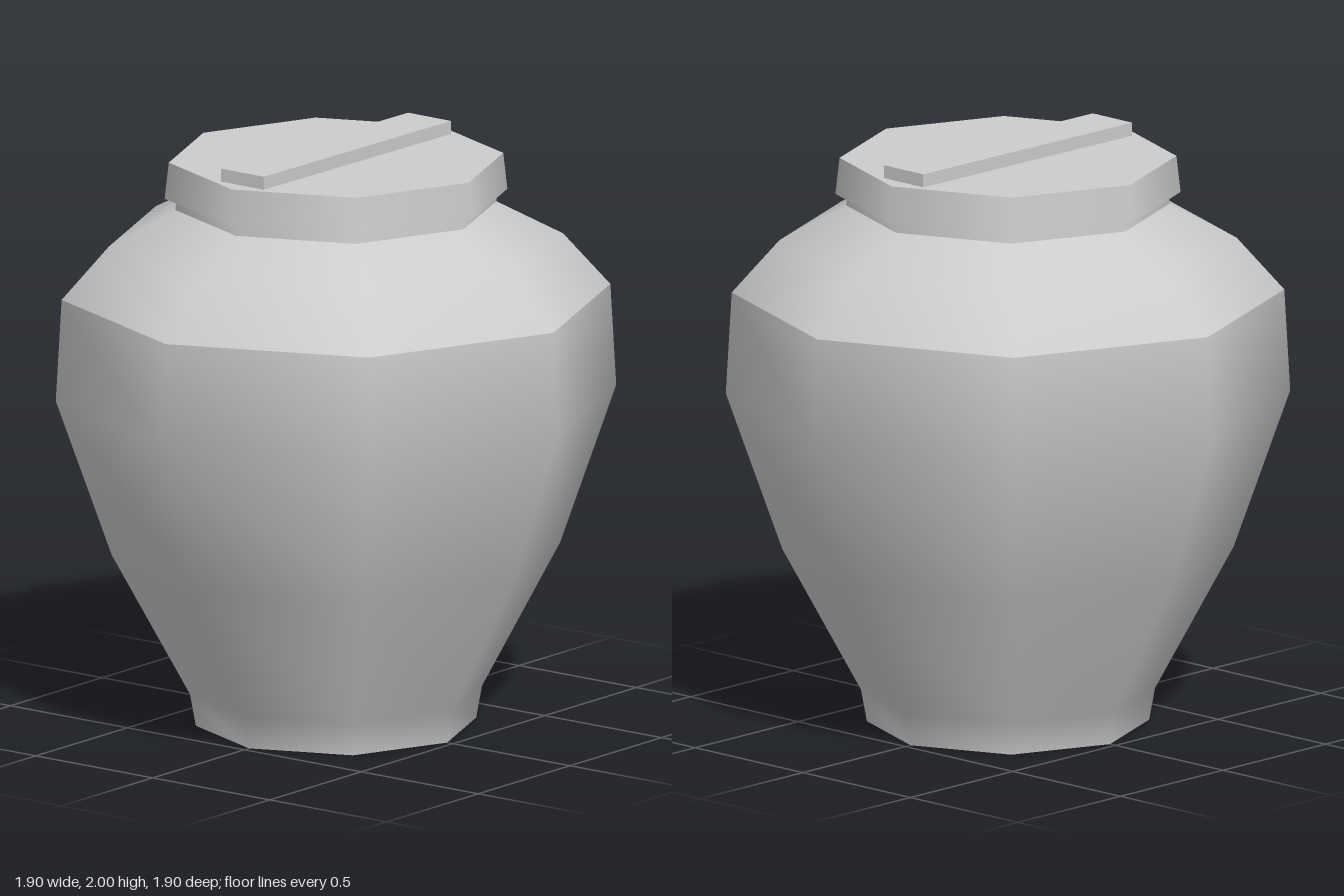
import * as THREE from 'three';

const SIDES = 8;

export function createModel() {
  const model = new THREE.Group();
  const clay = new THREE.MeshStandardMaterial({ color: 0xcccccc });
  clay.name = 'plain grey clay';

  const add = (name, geometry, y = 0) => {
    const mesh = new THREE.Mesh(geometry, clay);
    mesh.name = name;
    mesh.position.y = y;
    model.add(mesh);
    return mesh;
  };
  // Eight-sided turned shell; profile runs from bottom to top
  const turned = (points) =>
    new THREE.LatheGeometry(points.map(([r, y]) => new THREE.Vector2(r, y)), SIDES);

  // Jar, with hard edges where the separate shells meet
  add('base', turned([[0, 0], [0.475, 0]]));
  add('body', turned([[0.475, 0], [0.495, 0.11], [0.76, 0.6], [0.95, 1.14], [0.93, 1.49]]));
  add('shoulder', turned([[0.93, 1.49], [0.77, 1.67], [0.54, 1.79]]));
  add('neck', turned([[0.545, 1.79], [0.54, 1.835]]));

  // Lid overhangs the neck and narrows slightly to the top
  add('lid', new THREE.CylinderGeometry(0.567, 0.581, 0.125, SIDES), 1.8925);

  // Flat bar handle, set very slightly askew
  const handle = add('lidHandle', new THREE.BoxGeometry(1.005, 0.05, 0.185), 1.975);
  handle.rotation.y = -0.013;

  return model;
}
